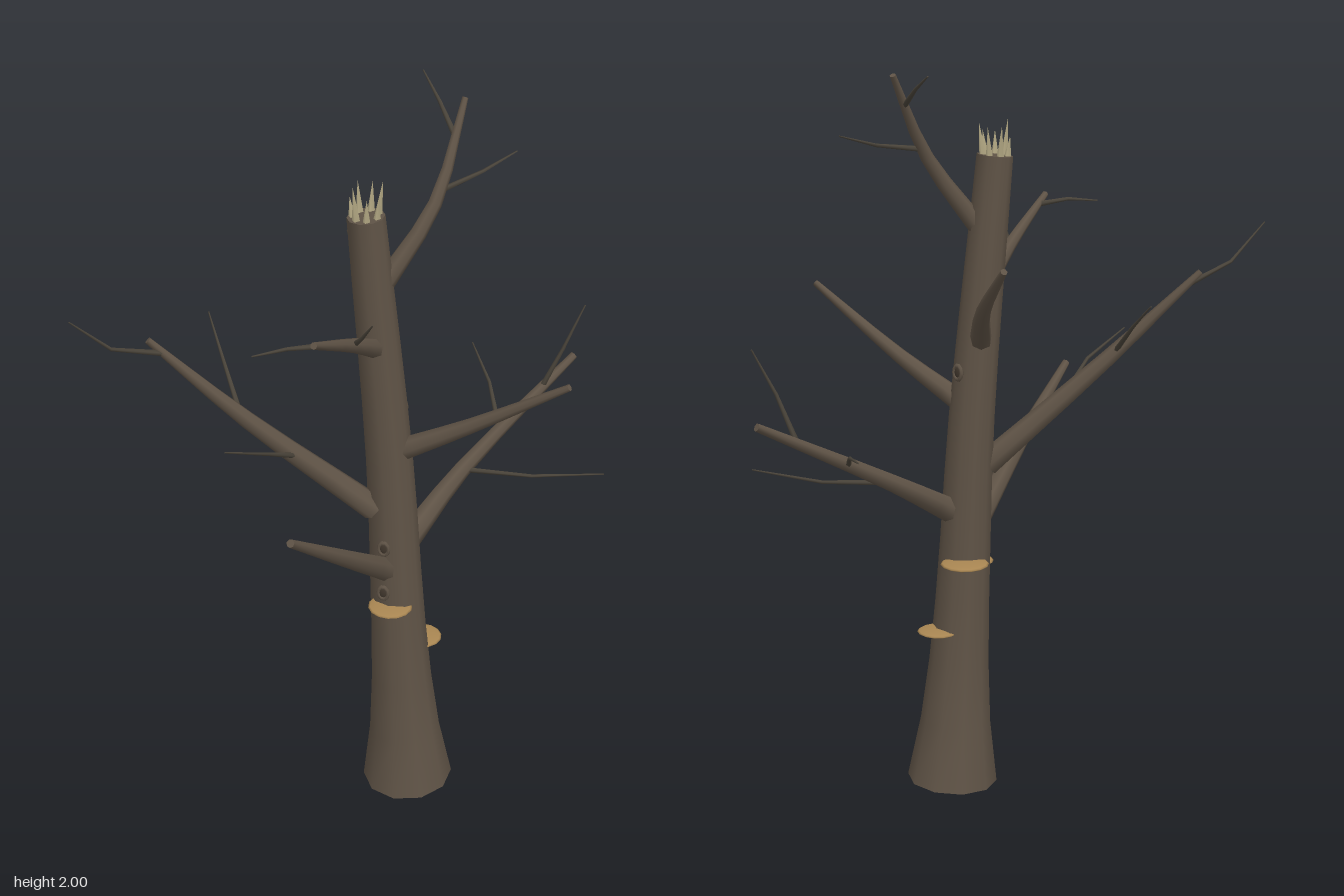
import * as THREE from 'three';

const material = (name, color) => Object.assign(new THREE.MeshStandardMaterial({ color }), { name });
const bark = material('bark', 0x5f5346);
const twigBark = material('twig bark', 0x4a443a);
const knotWood = material('knot wood', 0x41372d);
const paleWood = material('pale wood', 0xb5aa85);
const fungus = material('shelf fungus', 0xa98652);

const UP = new THREE.Vector3(0, 1, 0);
const V = (x, y, z) => new THREE.Vector3(x, y, z);

// Tapered limb: one ring per point, square to the path, with flat end caps
function limbGeometry(pts, radiusAt, sides) {
  const pos = [];
  const idx = [];
  const last = pts.length - 1;
  const addRing = (i) => {
    const dir = pts[Math.min(i + 1, last)].clone().sub(pts[Math.max(i - 1, 0)]).normalize();
    const q = new THREE.Quaternion().setFromUnitVectors(UP, dir);
    const r = radiusAt(i / last);
    for (let s = 0; s < sides; s++) {
      const a = (s / sides) * Math.PI * 2;
      pos.push(...V(Math.sin(a) * r, 0, Math.cos(a) * r).applyQuaternion(q).add(pts[i]).toArray());
    }
  };
  for (let i = 0; i <= last; i++) addRing(i);
  for (let i = 0; i < last; i++) {
    for (let s = 0; s < sides; s++) {
      const a = i * sides + s;
      const b = i * sides + ((s + 1) % sides);
      idx.push(a, b, b + sides, a, b + sides, a + sides);
    }
  }
  for (const end of [0, last]) {
    const first = pos.length / 3;
    addRing(end);
    for (let s = 1; s < sides - 1; s++) {
      if (end) idx.push(first, first + s, first + s + 1);
      else idx.push(first, first + s + 1, first + s);
    }
  }
  const g = new THREE.BufferGeometry();
  g.setAttribute('position', new THREE.Float32BufferAttribute(pos, 3));
  g.setIndex(idx);
  g.computeVertexNormals();
  return g;
}

function addMesh(parent, name, geometry, mat) {
  const mesh = new THREE.Mesh(geometry, mat);
  mesh.name = name;
  parent.add(mesh);
  return mesh;
}

// Leaning trunk with a flared foot
function addTrunk(group) {
  const spine = new THREE.CatmullRomCurve3([
    V(0.135, 0.008, 0.031), V(0.106, 0.6, 0.049), V(0.083, 1.05, 0.054), V(0.028, 1.76, 0.086),
  ]);
  const radiusAt = (t) => 0.082 - 0.034 * t + 0.043 * (1 - t) ** 8;
  addMesh(group, 'trunk', limbGeometry(spine.getSpacedPoints(10), radiusAt, 10), bark);
}

// Branch through three points; the returned function sprouts a bent twig at t along it
function addBranch(group, name, radius, tipRadius, start, middle, tip) {
  const limb = new THREE.Group();
  limb.name = name;
  group.add(limb);
  const curve = new THREE.CatmullRomCurve3([start, middle, tip]);
  const radiusAt = (t) => THREE.MathUtils.lerp(radius, tipRadius, t);
  addMesh(limb, 'branch', limbGeometry(curve.getPoints(6), radiusAt, 7), bark);
  return (t, bend, end) => {
    const path = [curve.getPoint(t), bend, end];
    addMesh(limb, 'twig', limbGeometry(path, (u) => 0.008 - 0.006 * u, 5), twigBark);
  };
}

function addBranches(group) {
  let twig = addBranch(group, 'longSideBranch', 0.036, 0.009,
    V(0.05, 0.92, 0.085), V(-0.245, 1.21, 0.225), V(-0.47, 1.445, 0.312));
  twig(0.92, V(-0.525, 1.46, 0.41), V(-0.595, 1.56, 0.485));
  twig(0.53, V(-0.34, 1.32, 0.14), V(-0.42, 1.4, 0.04));
  twig(0.3, V(-0.152, 1.18, 0.32), V(-0.215, 1.245, 0.448));

  twig = addBranch(group, 'lowBackBranch', 0.036, 0.011,
    V(0.12, 0.79, 0.03), V(0.215, 0.92, -0.175), V(0.43, 1.135, -0.515));
  twig(0.86, V(0.42, 1.2, -0.425), V(0.465, 1.32, -0.465));
  twig(0.5, V(0.4, 0.912, -0.215), V(0.59, 0.935, -0.25));
  twig(0.68, V(0.215, 1.055, -0.43), V(0.122, 1.09, -0.575));

  twig = addBranch(group, 'topBackBranch', 0.028, 0.008,
    V(0.06, 1.56, 0.07), V(0.165, 1.76, -0.04), V(0.193, 1.985, -0.188));
  twig(0.82, V(0.12, 1.955, -0.215), V(0.05, 1.998, -0.298));
  twig(0.56, V(0.25, 1.805, -0.165), V(0.315, 1.835, -0.248));

  twig = addBranch(group, 'highFrontBranch', 0.028, 0.009,
    V(0.06, 1.39, 0.07), V(0.052, 1.49, 0.25), V(0.032, 1.6, 0.475));
  twig(0.9, V(-0.03, 1.588, 0.49), V(-0.1, 1.58, 0.537));
  twig(0.51, V(0.09, 1.54, 0.3), V(0.13, 1.6, 0.335));

  addBranch(group, 'lowFrontBranch', 0.034, 0.011,
    V(0.092, 0.72, 0.07), V(0.05, 0.92, 0.335), V(0, 1.1, 0.57));
  addBranch(group, 'straightSideBranch', 0.032, 0.009,
    V(0.09, 1.08, 0.055), V(0.3, 1.205, 0.066), V(0.56, 1.38, 0.092));
  addBranch(group, 'highBackBranch', 0.03, 0.009,
    V(0.05, 1.27, 0.04), V(-0.04, 1.4, -0.16), V(-0.145, 1.53, -0.288));
}

// Broken splinters around the snapped top
function addSplinters(group) {
  const count = 7;
  for (let i = 0; i < count; i++) {
    const a = (i / count) * Math.PI * 2 - 0.6;
    const h = 0.08 + 0.022 * Math.sin(i * 2.4 + 1);
    const s = addMesh(group, 'splinter', new THREE.ConeGeometry(0.011, h, 4), paleWood);
    s.position.set(0.028 + Math.cos(a) * 0.037, 1.75 + h / 2, 0.086 + Math.sin(a) * 0.037);
    s.rotation.set(Math.sin(a) * 0.12, 0, -Math.cos(a) * 0.12);
  }
}

// Knot: a bark ring round a dark, slightly domed centre
function addKnot(group, position, facing) {
  const knot = new THREE.Group();
  knot.name = 'knot';
  knot.position.copy(position);
  knot.quaternion.setFromUnitVectors(V(0, 0, 1), facing.normalize());
  knot.scale.set(0.85, 1.15, 1);
  addMesh(knot, 'knotRing', new THREE.TorusGeometry(0.016, 0.006, 6, 10), bark);
  addMesh(knot, 'knotCentre', new THREE.SphereGeometry(0.014, 10, 6), knotWood).scale.z = 0.3;
  group.add(knot);
}

// Shelf fungus: a flat rounded disc half sunk in the trunk
function addShelf(group, position, radius) {
  const shelf = addMesh(group, 'shelfFungus', new THREE.SphereGeometry(radius, 14, 8), fungus);
  shelf.position.copy(position);
  shelf.scale.y = 0.13;
}

export function createModel() {
  const group = new THREE.Group();
  group.name = 'deadTree';
  addTrunk(group);
  addBranches(group);
  addSplinters(group);

  addKnot(group, V(0.09, 0.82, 0.122), V(0, 0, 1));
  addKnot(group, V(0.09, 0.68, 0.124), V(0, 0, 1));
  addKnot(group, V(0.098, 1.19, -0.004), V(0.35, 0, -0.9));

  addShelf(group, V(0.105, 0.63, 0.108), 0.06);
  addShelf(group, V(0.075, 0.662, -0.016), 0.066);
  addShelf(group, V(0.155, 0.458, -0.016), 0.057);
  return group;
}
